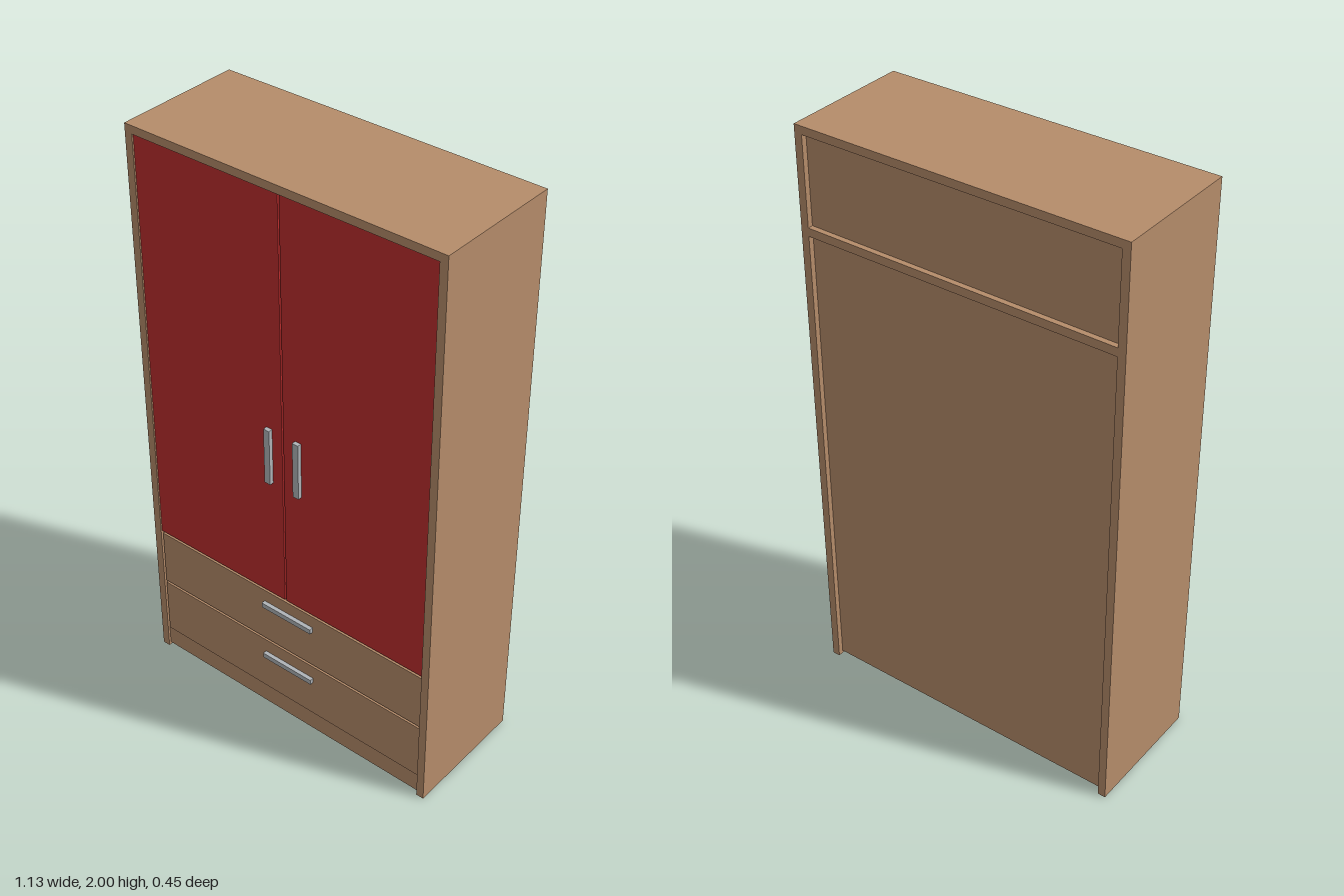
import * as THREE from 'three';

export function createModel() {
  const model = new THREE.Group();
  model.name = 'wardrobe';
  const material = (name, color) => {
    const m = new THREE.MeshStandardMaterial({ color });
    m.name = name;
    return m;
  };
  const wood = material('wood', 0xb58c6a);
  const red = material('red', 0xbb2d2d);
  const metal = material('metal', 0xb0b4b8);

  // Box given by its extents on each axis
  function panel(name, mat, [x0, x1], [y0, y1], [z0, z1]) {
    const mesh = new THREE.Mesh(new THREE.BoxGeometry(x1 - x0, y1 - y0, z1 - z0), mat);
    mesh.position.set((x0 + x1) / 2, (y0 + y1) / 2, (z0 + z1) / 2);
    mesh.name = name;
    model.add(mesh);
  }

  const W = 0.565, IN = 0.538, BACK = -0.225, FRONT = 0.215, FACE = 0.211;

  // Carcass
  panel('leftSide', wood, [IN, W], [0, 2], [BACK, FRONT]);
  panel('rightSide', wood, [-W, -IN], [0, 2], [BACK, FRONT]);
  panel('top', wood, [-IN, IN], [1.973, 2], [BACK, FRONT]);
  panel('upperShelf', wood, [-IN, IN], [1.648, 1.676], [BACK, 0.185]);
  panel('middleShelf', wood, [-IN, IN], [0.49, 0.515], [-0.205, 0.185]);
  panel('base', wood, [-IN, IN], [0.06, 0.082], [-0.205, 0.19]);
  panel('plinth', wood, [-IN, IN], [0.01, 0.082], [0.187, 0.207]);

  // Recessed back boards above and below the upper shelf
  panel('upperBack', wood, [-IN, IN], [1.676, 1.973], [-0.207, -0.195]);
  panel('lowerBack', wood, [-IN, IN], [0.01, 1.648], [-0.207, -0.195]);

  // Doors with upright handles
  panel('leftDoor', red, [0.003, 0.537], [0.518, 1.971], [0.187, FACE]);
  panel('rightDoor', red, [-0.537, -0.003], [0.518, 1.971], [0.187, FACE]);
  panel('leftDoorHandle', metal, [0.048, 0.07], [0.97, 1.17], [FACE, 0.225]);
  panel('rightDoorHandle', metal, [-0.063, -0.041], [0.97, 1.17], [FACE, 0.225]);

  // Drawers with level handles
  const drawers = [['upper', 0.302, 0.509, 0.455], ['lower', 0.085, 0.293, 0.234]];
  for (const [name, y0, y1, yh] of drawers) {
    panel(name + 'DrawerFront', wood, [-0.533, 0.537], [y0, y1], [0.187, FACE]);
    panel(name + 'DrawerBox', wood, [-0.51, 0.51], [y0 + 0.02, y1 - 0.03], [-0.17, 0.187]);
    panel(name + 'DrawerHandle', metal, [-0.09, 0.11], [yh - 0.009, yh + 0.009], [FACE, 0.225]);
  }
  return model;
}
